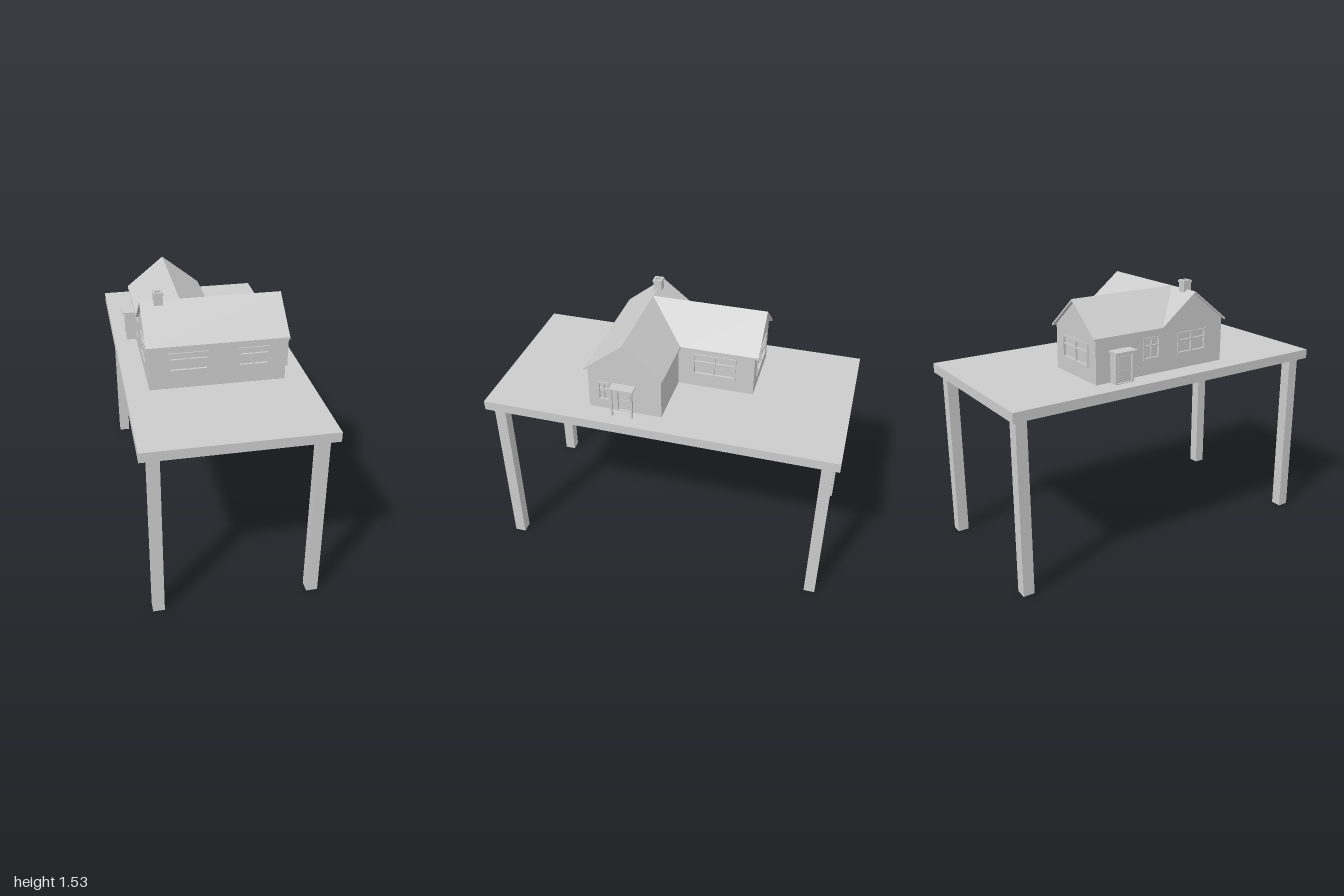
import * as THREE from 'three';

const mat = new THREE.MeshStandardMaterial({ color: 0xcccccc, flatShading: true, side: THREE.DoubleSide });
const FLOOR = 1.055, EAVE = 1.31, RIDGE = 1.485, T = 0.012;

function add(parent, name, geo, x = 0, y = 0, z = 0) {
  const m = new THREE.Mesh(geo, mat);
  m.name = name;
  m.position.set(x, y, z);
  parent.add(m);
  return m;
}

// Box given by its minimum and maximum corners
function box(parent, name, x0, x1, y0, y1, z0, z1) {
  return add(parent, name, new THREE.BoxGeometry(x1 - x0, y1 - y0, z1 - z0),
    (x0 + x1) / 2, (y0 + y1) / 2, (z0 + z1) / 2);
}

const polygon = (pts) => new THREE.Shape(pts.map(([x, y]) => new THREE.Vector2(x, y)));
const rect = (a, b, c, d) => [[a, c], [b, c], [b, d], [a, d]];
const extrude = (shape, depth) => new THREE.ExtrudeGeometry(shape, { depth, bevelEnabled: false });

// Frame, recessed pane and glazing bars filling one opening
function fillOpening(parent, { u: [a, b], v: [c, d], door }) {
  const g = new THREE.Group();
  g.name = door ? 'door' : 'window';
  parent.add(g);
  const f = 0.01;
  const frame = polygon(rect(a - f, b + f, door ? c : c - f, d + f));
  if (!door) frame.holes.push(polygon(rect(a, b, c, d)));
  else frame.holes.push(polygon(rect(a, b, c + 0.004, d)));
  add(g, 'frame', extrude(frame, 0.012), 0, 0, -0.006);
  box(g, door ? 'doorLeaf' : 'pane', a, b, c, d, -0.011, -0.008);
  if (door) {
    box(g, 'doorPanel', a + 0.012, b - 0.012, c + 0.02, c + 0.07, -0.008, -0.004);
    box(g, 'doorPanel', a + 0.012, b - 0.012, c + 0.085, d - 0.012, -0.008, -0.004);
  } else {
    const split = c + (d - c) * 0.64, mid = (a + b) / 2;
    box(g, 'transom', a, b, split - 0.004, split + 0.004, -0.008, 0.003);
    box(g, 'mullion', mid - 0.004, mid + 0.004, c, d, -0.008, 0.003);
  }
}

// Wall panel facing local +z, spanning u0..u1, with an optional gable peak at u = 0
function wall(parent, name, u0, u1, gable, openings, x, z, turn) {
  const g = new THREE.Group();
  g.name = name;
  g.position.set(x, 0, z);
  g.rotation.y = turn;
  parent.add(g);
  const pts = [[u0, FLOOR], [u1, FLOOR], [u1, EAVE]];
  if (gable) pts.push([0, RIDGE - T]);
  pts.push([u0, EAVE]);
  const shape = polygon(pts);
  for (const o of openings) {
    const v0 = o.door ? o.v[0] + 0.002 : o.v[0];
    shape.holes.push(polygon(rect(o.u[0], o.u[1], v0, o.v[1])));
  }
  add(g, 'wallPanel', extrude(shape, T), 0, 0, -T);
  openings.forEach((o) => fillOpening(g, o));
}

// Thin gabled roof, ridge along local z
function roofGeometry(half, length) {
  return extrude(polygon([[-half, EAVE], [0, RIDGE], [half, EAVE],
    [half, EAVE - T], [0, RIDGE - T], [-half, EAVE - T]]), length);
}

function buildTable(root) {
  const table = new THREE.Group();
  table.name = 'table';
  root.add(table);
  box(table, 'tableTop', -0.505, 0.505, 1, FLOOR, -1, 1);
  for (const sx of [-1, 1]) for (const sz of [-1, 1])
    add(table, 'tableLeg', new THREE.BoxGeometry(0.064, 1, 0.064), sx * 0.43, 0.5, sz * 0.935);
}

function buildHouse(root) {
  const house = new THREE.Group();
  house.name = 'house';
  root.add(house);
  const Q = Math.PI / 2, cx = -0.1725, cz = 0.2025;

  // Walls of the front wing
  wall(house, 'frontWall', -0.375, 0.375, false, [
    { u: [-0.26, -0.06], v: [1.165, 1.255] },
    { u: [0.12, 0.275], v: [1.165, 1.255] }], 0, 0.41, 0);
  wall(house, 'rightGable', -0.2075, 0.2075, true, [
    { u: [-0.04, 0.035], v: [FLOOR, 1.215], door: true },
    { u: [-0.145, -0.095], v: [1.12, 1.22] }], 0.375, cz, Q);
  wall(house, 'leftGable', -0.2075, 0.2075, true, [
    { u: [-0.1, 0.08], v: [1.15, 1.255] }], -0.375, cz, -Q);
  wall(house, 'frontWingBackWall', -0.375, -0.03, false, [], 0, -0.005, Math.PI);

  // Walls of the back wing
  wall(house, 'backGable', -0.2025, 0.2025, true, [
    { u: [-0.12, 0.12], v: [1.145, 1.255] }], cx, -0.445, Math.PI);
  wall(house, 'backWingRightWall', 0.005, 0.445, false, [
    { u: [0.1, 0.33], v: [1.145, 1.26] }], 0.03, 0, Q);
  wall(house, 'backWingLeftWall', -0.445, -0.005, false, [
    { u: [-0.13, -0.04], v: [1.15, 1.255] }], -0.375, 0, -Q);

  // Roofs: the back roof is mitred to meet the front slope along the valleys
  const front = add(house, 'frontRoof', roofGeometry(0.2225, 0.78), -0.39, 0, cz);
  front.rotation.y = Q;
  const geo = roofGeometry(0.2175, 0.66), p = geo.attributes.position;
  for (let i = 0; i < p.count; i++)
    p.setZ(i, p.getZ(i) > 0.3 ? cz - Math.abs(p.getX(i)) * 1.023 : -0.465);
  geo.computeVertexNormals();
  add(house, 'backRoof', geo, cx, 0, 0);

  // Hollow chimney
  const ring = (h) => {
    const s = polygon(rect(-h, h, -h, h));
    s.holes.push(polygon(rect(-0.016, 0.016, -0.016, 0.016)));
    return s;
  };
  for (const [name, h, y, height] of [['chimney', 0.024, 1.44, 0.085], ['chimneyCap', 0.027, 1.52, 0.015]])
    add(house, name, extrude(ring(h), height), -0.29, y, 0.205).rotation.x = -Q;

  // Entrance box on the left side
  const entry = new THREE.Group();
  entry.name = 'entranceBox';
  house.add(entry);
  box(entry, 'entryRoof', -0.45, -0.375, 1.224, 1.234, -0.365, -0.23);
  for (const z of [-0.355, -0.25])
    box(entry, 'entrySide', -0.43, -0.375, FLOOR, 1.224, z, z + 0.01);
  const face = new THREE.Group();
  face.name = 'entryFront';
  face.position.set(-0.424, 0, -0.2975);
  face.rotation.y = -Q;
  entry.add(face);
  fillOpening(face, { u: [-0.0475, 0.0475], v: [FLOOR, 1.214], door: true });

  // Open porch on the right side
  const porch = new THREE.Group();
  porch.name = 'porch';
  house.add(porch);
  box(porch, 'porchRoof', 0.375, 0.435, 1.226, 1.234, 0.138, 0.272);
  for (const z of [0.148, 0.262]) {
    box(porch, 'porchPost', 0.422, 0.432, FLOOR, 1.226, z - 0.005, z + 0.005);
    box(porch, 'porchBeam', 0.375, 0.432, 1.214, 1.226, z - 0.004, z + 0.004);
  }
}

export function createModel() {
  const root = new THREE.Group();
  root.name = 'houseOnTable';
  buildTable(root);
  buildHouse(root);
  return root;
}
